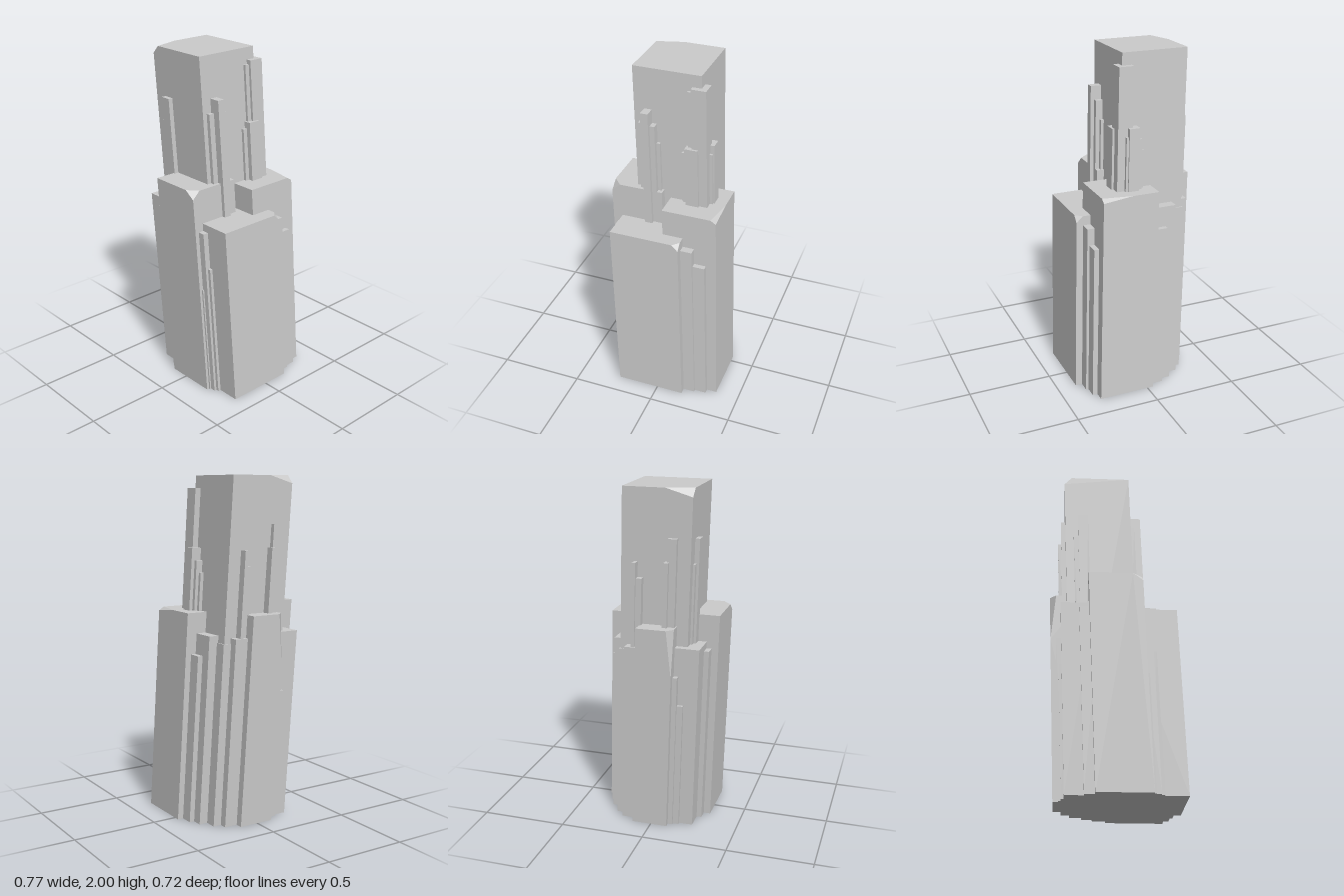
import * as THREE from 'three';
import { ConvexGeometry } from 'three/addons/geometries/ConvexGeometry.js';

const LEAN = 0.04; // every column drifts this far per unit of height, to -x and +z

// Leaning column given by its top rectangle and height.
// cut = [sideX, sideZ, dx, dy, dz] slices off one top corner.
function column(name, x0, x1, z0, z1, h, cut) {
  const pts = [];
  for (const sx of [-1, 1]) for (const sz of [-1, 1]) {
    const x = sx < 0 ? x0 : x1, z = sz < 0 ? z0 : z1;
    pts.push([x, 0, z]);
    if (cut && cut[0] === sx && cut[1] === sz) {
      const [, , dx, dy, dz] = cut;
      pts.push([x - sx * dx, h, z], [x, h - dy, z], [x, h, z - sz * dz]);
    } else pts.push([x, h, z]);
  }
  const geometry = new ConvexGeometry(pts.map(([x, y, z]) =>
    new THREE.Vector3(x + LEAN * (h - y), y, z - LEAN * (h - y))));
  const mesh = new THREE.Mesh(geometry,
    new THREE.MeshStandardMaterial({ color: 0xcccccc, flatShading: true }));
  mesh.name = name;
  return mesh;
}

export function createModel() {
  const model = new THREE.Group();
  model.name = 'leaningColumns';

  // Main tower and the four large columns around it
  model.add(
    column('mainTower', -0.32, 0.075, -0.155, 0.242, 2, [-1, 1, 0.044, 0.045, 0.155]),
    column('frontColumn', -0.165, 0.146, 0.05, 0.36, 1.275, [1, 1, 0.057, 0.045, 0.05]),
    column('backColumn', -0.085, 0.252, -0.31, 0.01, 1.23, [1, -1, 0.177, 0.02, 0.03]),
    column('leftColumn', 0.0, 0.343, -0.118, 0.295, 1.075, [1, -1, 0.038, 0.035, 0.036]),
    column('rightColumn', -0.388, -0.178, -0.065, 0.146, 1.23, [-1, 1, 0.037, 0.28, 0.036]),
  );

  // Slim columns, as [x0, x1, z0, z1, height], measured at their tops
  const clusters = {
    frontSliver: [
      [-0.322, -0.13, 0.1, 0.284, 1.115],
      [-0.215, -0.1, 0.15, 0.312, 1.075],
      [-0.233, -0.172, 0.15, 0.258, 1.72],
      [-0.255, -0.22, 0.15, 0.238, 1.58],
    ],
    rightFrontSliver: [
      [-0.345, -0.31, 0.1, 0.162, 0.945],
      [-0.325, -0.28, 0.12, 0.19, 0.77],
      [-0.336, -0.25, 0.105, 0.157, 1.73],
      [-0.35, -0.25, 0.084, 0.112, 1.6],
    ],
    rightBackSliver: [
      [-0.35, -0.25, -0.095, -0.075, 1.59],
      [-0.335, -0.25, -0.08, -0.045, 1.5],
      [-0.338, -0.2, -0.15, -0.03, 1.1],
      [-0.29, -0.15, -0.2, -0.05, 1.07],
    ],
    backSliver: [
      [-0.22, -0.05, -0.25, -0.1, 1.11],
      [-0.153, -0.04, -0.285, -0.15, 0.99],
      [-0.003, 0.062, -0.23, -0.12, 1.59],
      [0.05, 0.078, -0.224, -0.12, 1.54],
      [-0.023, 0.02, -0.213, -0.12, 1.52],
      [-0.04, 0.0, -0.197, -0.12, 1.45],
    ],
    leftBackSliver: [
      [0.02, 0.108, -0.192, -0.105, 1.93],
      [0.03, 0.094, -0.12, -0.08, 1.905],
      [0.04, 0.135, -0.157, -0.08, 1.58],
      [0.03, 0.11, -0.085, -0.056, 1.54],
      [0.16, 0.305, -0.188, -0.08, 1.02],
      [0.16, 0.294, -0.262, -0.1, 0.92],
    ],
    leftFrontSliver: [
      [0.0, 0.148, 0.128, 0.172, 1.76],
      [0.0, 0.13, 0.097, 0.14, 1.68],
      [0.0, 0.11, 0.073, 0.11, 1.57],
      [0.0, 0.11, 0.16, 0.202, 1.68],
      [0.1, 0.195, 0.2, 0.326, 1.03],
      [0.15, 0.222, 0.2, 0.302, 0.81],
      [0.1, 0.18, 0.2, 0.32, 0.67],
    ],
  };
  for (const [name, list] of Object.entries(clusters)) {
    const group = new THREE.Group();
    group.name = name + 's';
    list.forEach((c, i) => group.add(column(`${name}${i + 1}`, ...c)));
    model.add(group);
  }
  return model;
}
